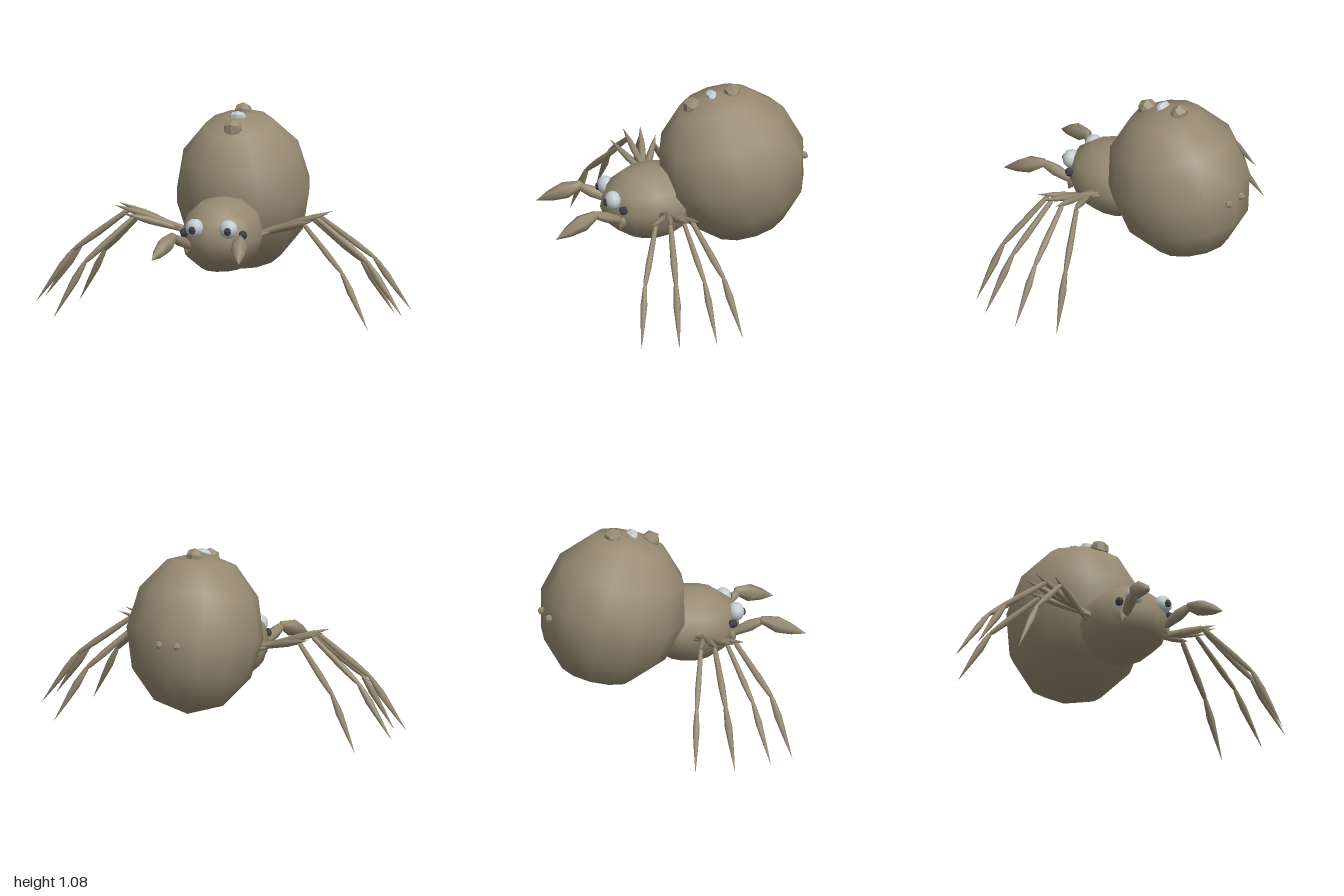
import * as THREE from 'three';

const skin = new THREE.MeshStandardMaterial({ color: 0x978a72 });
const skinFlat = new THREE.MeshStandardMaterial({ color: 0x978a72, flatShading: true });
const pale = new THREE.MeshStandardMaterial({ color: 0xc4ccd0 });
const paleFlat = new THREE.MeshStandardMaterial({ color: 0xc4ccd0, flatShading: true });
const dark = new THREE.MeshStandardMaterial({ color: 0x3c3e44, flatShading: true });

// Low-poly ellipsoid
function blob(name, pos, radii, material, segs = 12, rings = 6) {
  const mesh = new THREE.Mesh(new THREE.SphereGeometry(1, segs, rings), material);
  mesh.name = name;
  mesh.position.set(...pos);
  mesh.scale.set(...radii);
  return mesh;
}

// Pointed segment from a to b; profile is [radius, fraction of length]
function spindle(name, a, b, profile, sides = 6) {
  const from = new THREE.Vector3(...a);
  const dir = new THREE.Vector3(...b).sub(from);
  const len = dir.length();
  const pts = profile.map(([r, t]) => new THREE.Vector2(r, t * len));
  const mesh = new THREE.Mesh(new THREE.LatheGeometry(pts, sides), skin);
  mesh.name = name;
  mesh.position.copy(from);
  mesh.quaternion.setFromUnitVectors(new THREE.Vector3(0, 1, 0), dir.normalize());
  return mesh;
}

const THIGH = [[0, 0], [0.013, 0.1], [0.019, 0.6], [0.014, 0.78], [0, 1]];
const SHIN = [[0, 0], [0.013, 0.1], [0.018, 0.6], [0.013, 0.82], [0, 1]];
const FOOT = [[0, 0], [0.012, 0.08], [0.02, 0.35], [0.012, 0.65], [0, 1]];
const PALP = [[0, 0], [0.022, 0.04], [0.046, 0.38], [0.03, 0.7], [0, 1]];

// Leg joints: root, knee, ankle, tip (left side)
const LEGS = [
  [[0.17, 0.45, 0.07], [0.46, 0.545, 0.21], [0.7, 0.31, 0.325], [0.86, 0.01, 0.38]],
  [[0.17, 0.46, 0.09], [0.51, 0.57, 0.145], [0.8, 0.35, 0.18], [1, 0.065, 0.205]],
  [[0.17, 0.46, 0.13], [0.51, 0.57, 0.075], [0.8, 0.35, 0.025], [1, 0.065, 0]],
  [[0.17, 0.45, 0.15], [0.46, 0.545, 0.02], [0.7, 0.31, -0.1], [0.86, 0.02, -0.17]],
];

// Moves b further along the line from a
const beyond = (a, b, k) => b.map((v, i) => a[i] + (v - a[i]) * k);

export function createModel() {
  const model = new THREE.Group();
  model.name = 'spider';

  // Body
  const abdomen = blob('abdomen', [0, 0.63, -0.3], [0.36, 0.432, 0.4], skin);
  abdomen.rotation.x = 0.25;
  const head = blob('head', [0, 0.458, 0.137], [0.22, 0.202, 0.275], skin);
  head.rotation.x = 0.05;
  model.add(abdomen, head);

  // Bumps along the back
  const bumps = [
    [[0, 0.988, -0.083], [0.05, 0.05, 0.05], skinFlat],
    [[0, 1.035, -0.19], [0.045, 0.03, 0.032], paleFlat],
    [[0, 1.043, -0.302], [0.05, 0.05, 0.05], skinFlat],
  ];
  for (const [pos, [rx, ry, rz], material] of bumps) {
    const bump = blob('backBump', pos, [ry, rx, rz], material, 6, 4);
    bump.rotation.z = Math.PI / 2;
    model.add(bump);
  }

  for (const side of [1, -1]) {
    const label = side > 0 ? 'left' : 'right';
    const at = ([x, y, z]) => [x * side, y, z];

    // Eyes
    model.add(
      blob(label + 'Eye', at([0.092, 0.522, 0.362]), [0.05, 0.05, 0.045], pale, 12, 8),
      blob(label + 'Pupil', at([0.096, 0.516, 0.4]), [0.021, 0.023, 0.016], dark, 6, 4),
      blob(label + 'SideEye', at([0.16, 0.488, 0.32]), [0.024, 0.025, 0.025], dark, 6, 4),
    );

    // Mouth feelers
    model.add(
      spindle(label + 'FeelerBase', at([0.12, 0.47, 0.3]), at([0.15, 0.37, 0.335]),
        [[0, 0], [0.025, 0.35], [0.025, 0.65], [0, 1]]),
      spindle(label + 'FeelerArm', at([0.12, 0.41, 0.31]), at([0.178, 0.49, 0.49]),
        [[0, 0], [0.022, 0.15], [0.031, 0.6], [0.022, 0.9], [0, 1]]),
      spindle(label + 'FeelerClub', at([0.178, 0.498, 0.462]), at([0.238, 0.395, 0.705]), PALP),
    );

    // Spinneret at the rear
    model.add(blob(label + 'Spinneret', at([0.05, 0.653, -0.682]), [0.02, 0.022, 0.023], skinFlat, 6, 4));

    // Legs
    for (const joints of LEGS) {
      const [root, knee, ankle, tip] = joints.map(at);
      const leg = new THREE.Group();
      leg.name = label + 'Leg';
      leg.add(
        spindle('thigh', root, beyond(root, knee, 1.22), THIGH),
        spindle('shin', beyond(ankle, knee, 1.06), beyond(knee, ankle, 1.16), SHIN),
        spindle('foot', beyond(tip, ankle, 1.06), tip, FOOT),
      );
      model.add(leg);
    }
  }
  return model;
}
